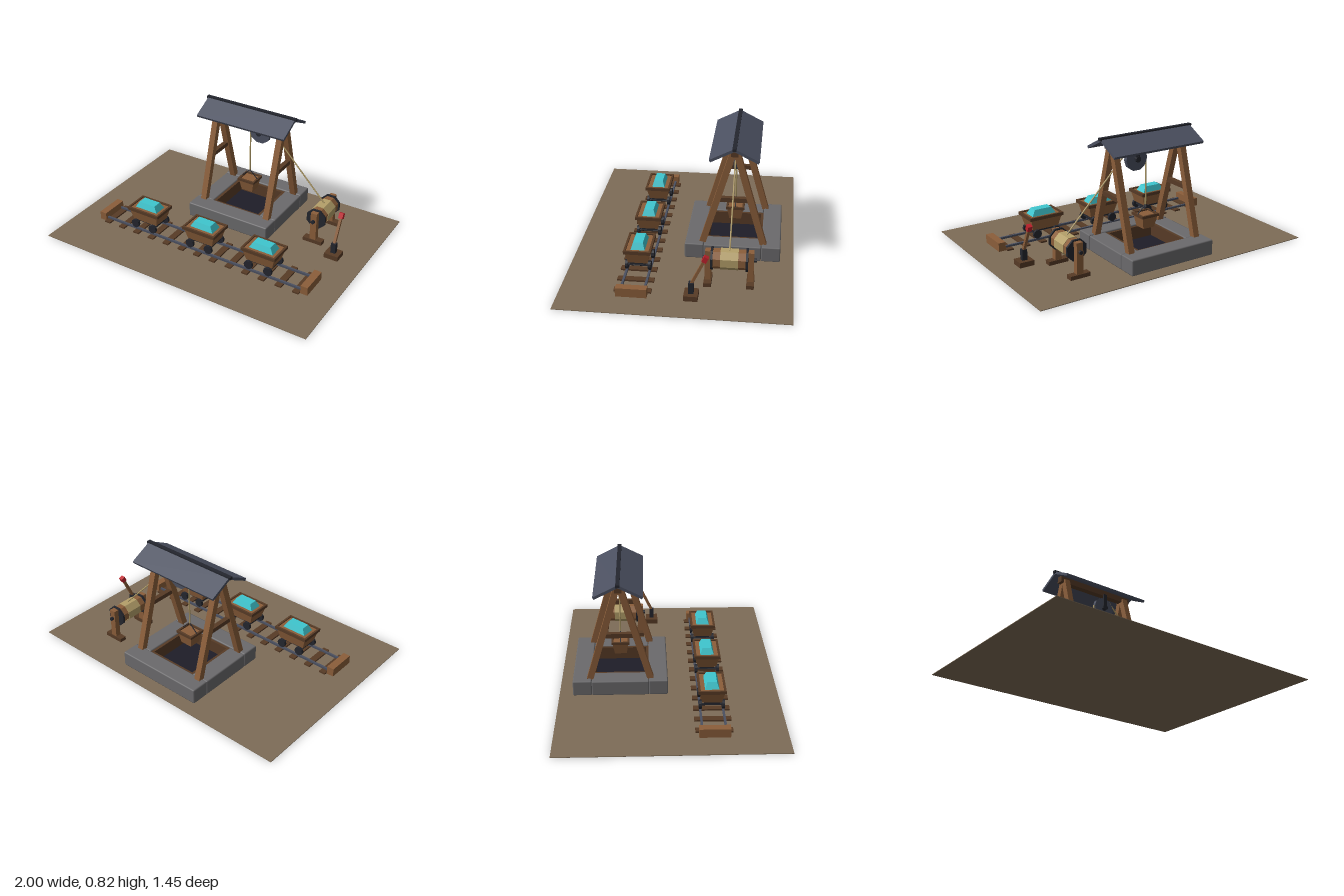
import * as THREE from 'three';
import { RoundedBoxGeometry } from 'three/addons/geometries/RoundedBoxGeometry.js';

export function createModel() {
  const mat = (name, color) => {
    const m = new THREE.MeshStandardMaterial({ color });
    m.name = name;
    return m;
  };
  const ground = mat('earth', 0x7d6c57);
  const wood = mat('wood', 0x8b5e3a);
  const darkWood = mat('dark wood', 0x573b26);
  const stone = mat('stone', 0x6b6a6c);
  const iron = mat('iron', 0x24262e);
  const slate = mat('slate', 0x4b5060);
  const rope = mat('rope', 0xb5a06a);
  const ore = mat('ore', 0x3fc6cf);
  const red = mat('red', 0xc0222c);
  const pit = mat('pit', 0x1e1d28);

  const model = new THREE.Group();
  model.name = 'mine head';
  const group = (name, x = 0, y = 0, z = 0, parent = model) => {
    const g = new THREE.Group();
    g.name = name;
    g.position.set(x, y, z);
    parent.add(g);
    return g;
  };
  const add = (parent, name, geometry, material, x = 0, y = 0, z = 0) => {
    const m = new THREE.Mesh(geometry, material);
    m.name = name;
    m.position.set(x, y, z);
    parent.add(m);
    return m;
  };
  const box = (p, name, material, w, h, d, x, y, z) =>
    add(p, name, new THREE.BoxGeometry(w, h, d), material, x, y, z);
  const up = new THREE.Vector3(0, 1, 0);
  // Piece spanning two points: square beam, or round rod when sides are given
  const span = (p, name, material, a, b, size, sides = 0) => {
    const A = new THREE.Vector3(...a), d = new THREE.Vector3(...b).sub(A);
    const len = d.length();
    const geo = sides ? new THREE.CylinderGeometry(size / 2, size / 2, len, sides)
      : new THREE.BoxGeometry(size, len, size);
    const m = add(p, name, geo, material);
    m.position.copy(A).addScaledVector(d, 0.5);
    m.quaternion.setFromUnitVectors(up, d.normalize());
    return m;
  };
  // Faceted disc or drum with its axis along z and flat sides up
  const disc = (p, name, material, r, len, sides, x, y, z) => {
    const geo = new THREE.CylinderGeometry(r, r, len, sides).toNonIndexed();
    geo.rotateY(Math.PI / sides).rotateX(Math.PI / 2);
    geo.computeVertexNormals();
    return add(p, name, geo, material, x, y, z);
  };
  // Box whose bottom and top rectangles differ; sits on y
  const taper = (p, name, material, bottom, top, h, x, y, z) => {
    const geo = new THREE.BoxGeometry(1, h, 1).toNonIndexed();
    const pos = geo.attributes.position;
    for (let i = 0; i < pos.count; i++) {
      const s = pos.getY(i) > 0 ? top : bottom;
      pos.setX(i, pos.getX(i) * s[0]);
      pos.setZ(i, pos.getZ(i) * s[1]);
    }
    geo.computeVertexNormals();
    return add(p, name, geo, material, x, y + h / 2, z);
  };
  // Rectangular ring of four bars
  const frame = (p, name, material, w, d, bar, h, x, y, z) => {
    for (const s of [-1, 1]) {
      box(p, name, material, w, h, bar, x, y, z + s * (d - bar) / 2);
      box(p, name, material, bar, h, d - 2 * bar, x + s * (w - bar) / 2, y, z);
    }
  };

  box(model, 'ground', ground, 2, 0.004, 1.45, 0, 0.002, 0);

  // Shaft collar, lining and pit floor
  const shaft = group('shaft', 0, 0, -0.32);
  for (const s of [-1, 1]) {
    add(shaft, 'collar end', new RoundedBoxGeometry(0.63, 0.106, 0.125, 1, 0.008), stone, 0, 0.057, s * 0.252);
    add(shaft, 'collar side', new RoundedBoxGeometry(0.125, 0.104, 0.378, 1, 0.008), stone, s * 0.252, 0.055, 0);
  }
  frame(shaft, 'lining', darkWood, 0.386, 0.386, 0.022, 0.095, 0, 0.052, 0);
  box(shaft, 'pit floor', pit, 0.344, 0.008, 0.344, 0, 0.008, 0);

  // Headframe
  const head = group('headframe', 0, 0, -0.32);
  for (const x of [-0.255, 0.255]) {
    for (const s of [-1, 1])
      span(head, 'leg', wood, [x, 0.095, s * 0.203], [x, 0.755, s * 0.012], 0.042);
    box(head, 'brace', darkWood, 0.032, 0.03, 0.21, x, 0.422, 0);
  }
  box(head, 'ridge beam', darkWood, 0.6, 0.045, 0.045, 0, 0.762, 0);
  for (const s of [-1, 1])
    box(head, 'roof slope', slate, 0.68, 0.018, 0.175, 0, 0.763, s * 0.077).rotation.x = s * 0.475;
  box(head, 'ridge cap', iron, 0.7, 0.018, 0.026, 0, 0.807, 0);

  // Pulley and hoisting rope
  disc(head, 'pulley', slate, 0.08, 0.028, 10, 0.08, 0.645, 0);
  disc(head, 'pulley hub', iron, 0.02, 0.07, 8, 0.08, 0.645, 0);
  for (const s of [-1, 1])
    box(head, 'pulley hanger', iron, 0.026, 0.11, 0.01, 0.08, 0.695, s * 0.025);
  span(head, 'hoist rope', rope, [0, 0.32, 0], [0, 0.65, 0], 0.01, 6);
  span(head, 'winch rope', rope, [0.135, 0.712, 0], [0.59, 0.238, 0], 0.01, 6);

  // Hanging bucket
  const bucket = group('bucket', 0, 0, -0.32);
  taper(bucket, 'bucket body', wood, [0.085, 0.08], [0.12, 0.11], 0.085, 0, 0.17, 0);
  frame(bucket, 'bucket rim', darkWood, 0.132, 0.122, 0.014, 0.018, 0, 0.255, 0);
  for (const s of [-1, 1])
    span(bucket, 'sling', iron, [s * 0.062, 0.262, 0], [0, 0.322, 0], 0.007, 6);

  // Winch
  const winch = group('winch', 0.588, 0, -0.32);
  disc(winch, 'drum', wood, 0.064, 0.22, 8, 0, 0.175, 0);
  disc(winch, 'rope coil', rope, 0.068, 0.112, 8, 0, 0.175, 0);
  disc(winch, 'axle', iron, 0.013, 0.34, 8, 0, 0.175, 0);
  for (const s of [-1, 1]) {
    disc(winch, 'drum flange', iron, 0.074, 0.014, 8, 0, 0.175, s * 0.11);
    box(winch, 'winch post', wood, 0.045, 0.22, 0.038, 0, 0.125, s * 0.134);
    box(winch, 'winch foot', darkWood, 0.14, 0.028, 0.048, 0, 0.016, s * 0.134);
  }

  // Control lever
  const lever = group('lever', 0.78, 0, -0.1);
  box(lever, 'lever base', darkWood, 0.1, 0.036, 0.088, 0, 0.02, 0);
  box(lever, 'lever bracket', iron, 0.034, 0.075, 0.032, 0, 0.073, 0);
  span(lever, 'lever arm', wood, [0, 0.09, 0.005], [0, 0.27, -0.08], 0.018);
  span(lever, 'lever grip', red, [0, 0.262, -0.076], [0, 0.297, -0.093], 0.03);

  // Track
  const track = group('track', 0, 0, 0.268);
  for (let i = -6; i <= 6; i++)
    box(track, 'sleeper', darkWood, 0.045, 0.013, 0.235, i * 0.125, 0.0085, 0);
  for (const s of [-1, 1]) {
    box(track, 'rail', slate, 1.56, 0.014, 0.014, 0, 0.021, s * 0.074);
    box(track, 'bumper', wood, 0.05, 0.06, 0.195, s * 0.8, 0.033, 0);
  }

  // Ore carts
  for (const x of [-0.455, 0, 0.455]) {
    const cart = group('cart', x, 0, 0.268);
    taper(cart, 'cart body', wood, [0.19, 0.125], [0.238, 0.165], 0.09, 0, 0.083, 0);
    frame(cart, 'cart rim', darkWood, 0.252, 0.176, 0.014, 0.022, 0, 0.17, 0);
    taper(cart, 'ore load', ore, [0.176, 0.092], [0.126, 0.062], 0.042, 0, 0.172, 0);
    box(cart, 'chassis', iron, 0.18, 0.016, 0.1, 0, 0.077, 0);
    for (const wx of [-0.072, 0.072]) {
      disc(cart, 'cart axle', iron, 0.008, 0.15, 6, wx, 0.058, 0);
      for (const s of [-1, 1])
        disc(cart, 'wheel', iron, 0.031, 0.018, 10, wx, 0.058, s * 0.074);
    }
  }
  return model;
}
